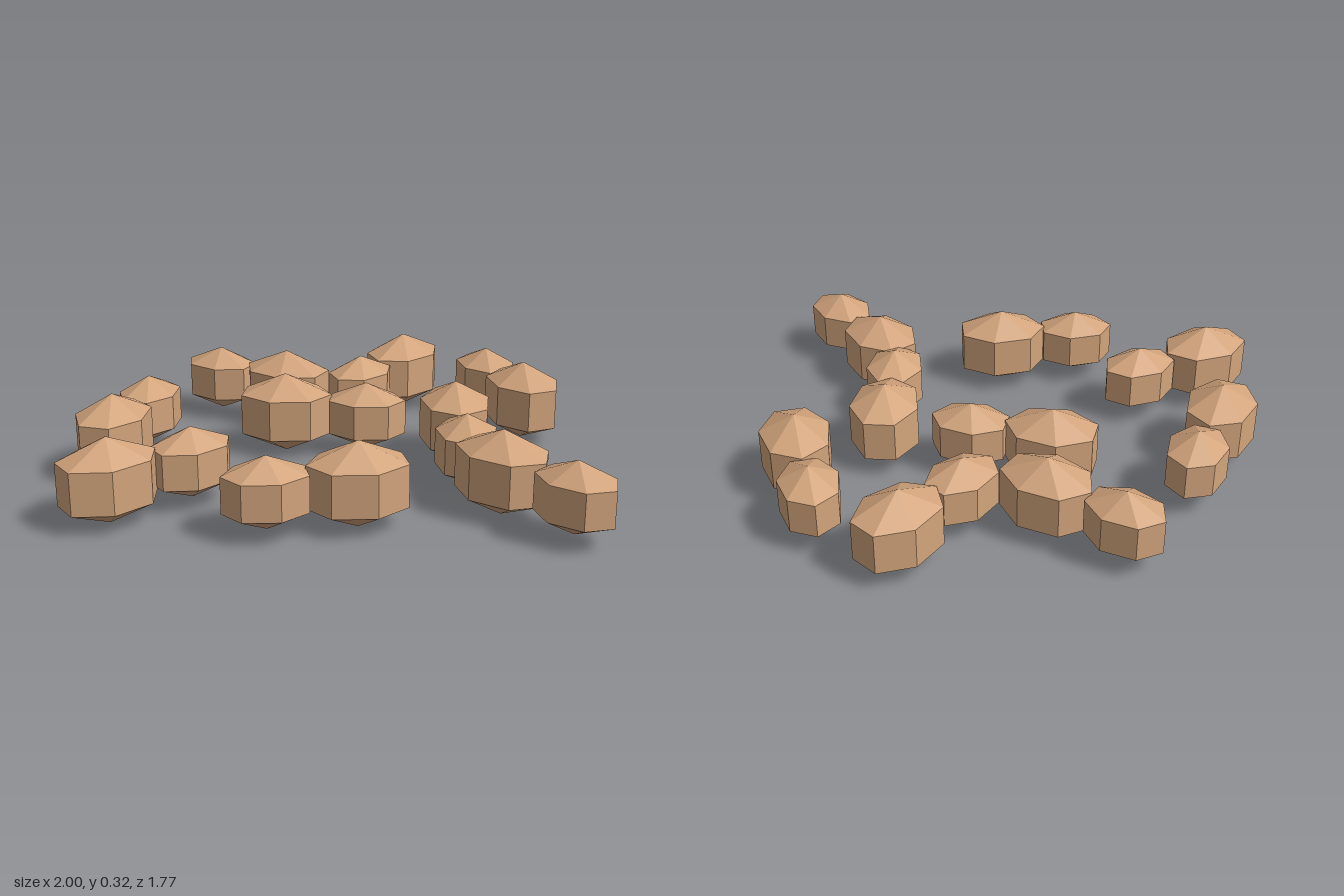
import * as THREE from 'three';

// Each row is one pair or trio of stones sharing a heading (degrees, 0 = +x, 90 = +z).
// Stones are [x, z, size], heading is where the pointed end faces.
const LARGE = 0.16, SMALL = 0.135;
const rows = [
  { name: 'backRow', heading: 120, stones: [[0.155, -0.71, LARGE], [0.0, -0.435, SMALL]] },
  { name: 'backLeftRow', heading: 241, stones: [[0.52, -0.618, SMALL], [0.678, -0.347, LARGE]] },
  { name: 'backRightRow', heading: 200, stones: [[-0.61, -0.49, SMALL], [-0.307, -0.39, LARGE]] },
  { name: 'middleRow', heading: 0, stones: [[-0.257, -0.07, LARGE], [0.065, -0.07, SMALL]] },
  { name: 'leftRow', heading: 80, stones: [[0.418, -0.056, LARGE], [0.475, 0.25, SMALL]] },
  { name: 'frontLeftRow', heading: 37, stones: [[0.61, 0.473, LARGE], [0.86, 0.675, SMALL]] },
  { name: 'frontRow', heading: 161, stones: [[0.12, 0.645, LARGE], [-0.18, 0.763, SMALL]] },
  { name: 'frontRightRow', heading: 318, stones: [[-0.5, 0.515, SMALL], [-0.745, 0.722, LARGE]] },
  { name: 'rightRow', heading: 278, stones: [[-0.808, -0.05, SMALL], [-0.863, 0.265, LARGE]] },
];

export function createModel() {
  const model = new THREE.Group();
  model.name = 'stoneRing';
  const tan = new THREE.MeshStandardMaterial({ color: 0xd2a47c, flatShading: true });
  tan.name = 'tanStone';

  // seven-sided faceted stone, stretched along its heading
  const stoneShape = new THREE.SphereGeometry(1, 7, 3);

  for (const { name, heading, stones } of rows) {
    const row = new THREE.Group();
    row.name = name;
    const a = THREE.MathUtils.degToRad(heading);
    for (const [x, z, size] of stones) {
      const stone = new THREE.Mesh(stoneShape, tan);
      stone.name = size === LARGE ? 'largeStone' : 'smallStone';
      stone.scale.set(size * 1.34, size, size);
      stone.rotation.y = Math.PI - a; // the shape's point lies on its -x side
      stone.position.set(x, LARGE, z);
      row.add(stone);
    }
    model.add(row);
  }
  return model;
}
